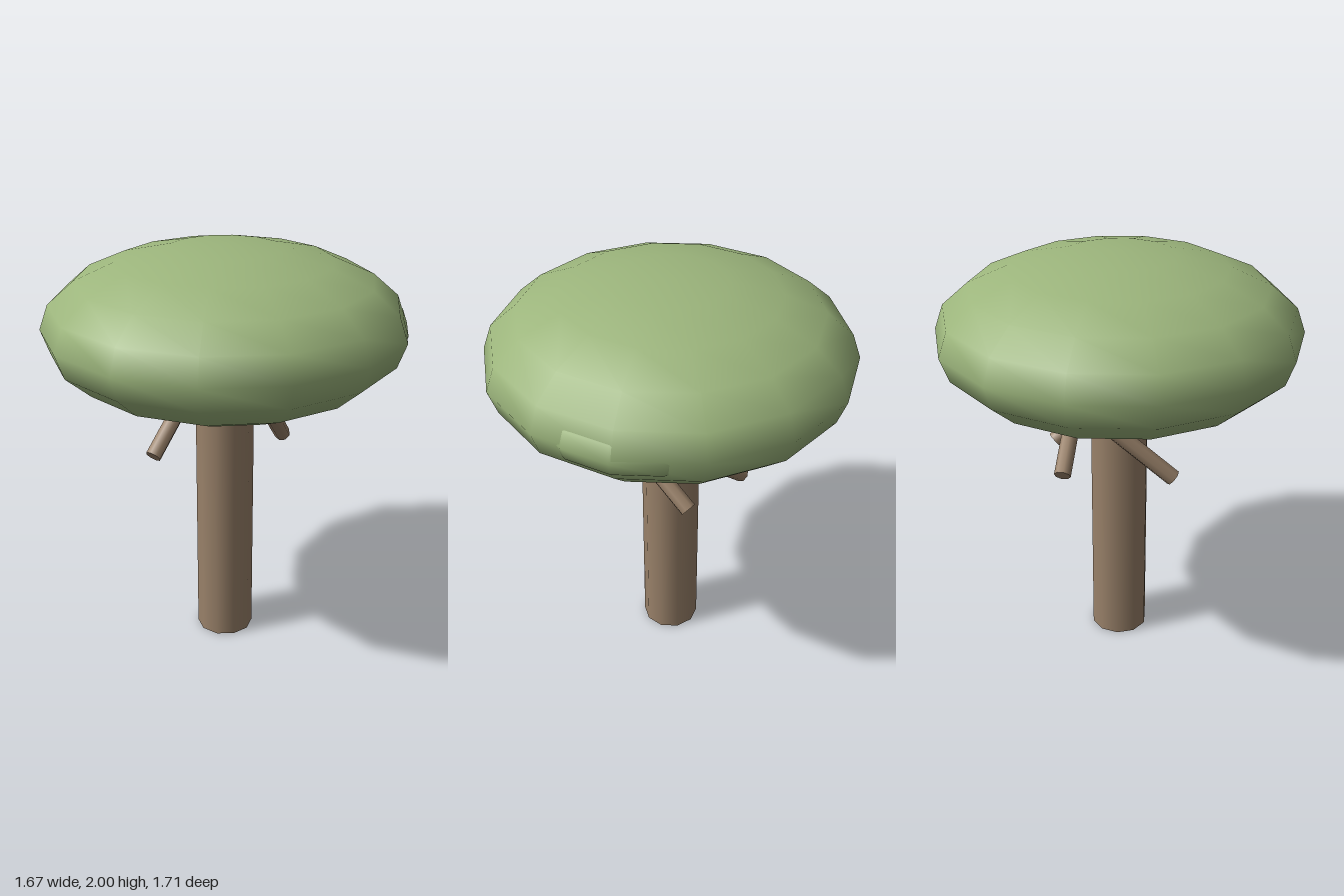
import * as THREE from 'three';

export function createModel() {
  const model = new THREE.Group();
  const leaf = new THREE.MeshStandardMaterial({ color: 0x9cb57c });
  leaf.name = 'leafGreen';
  const bark = new THREE.MeshStandardMaterial({ color: 0x9a826a });
  bark.name = 'barkBrown';

  function add(name, geometry, material) {
    const mesh = new THREE.Mesh(geometry, material);
    mesh.name = name;
    model.add(mesh);
    return mesh;
  }

  // Flattened foliage: smooth spheres of 14 sides with a corner facing the front
  function foliage(name, radius, height, x, y, z) {
    const geometry = new THREE.SphereGeometry(1, 14, 10).rotateY(Math.PI / 2);
    const mesh = add(name, geometry, leaf);
    mesh.scale.set(radius, height, radius);
    mesh.position.set(x, y, z);
  }
  foliage('canopy', 0.853, 0.377, -0.003, 1.623, 0);
  foliage('sideFoliage', 0.5, 0.22, 0.345, 1.61, 0.09);

  // Trunk, reaching just into the canopy
  const trunk = add('trunk', new THREE.CylinderGeometry(0.14, 0.14, 1.3, 10), bark);
  trunk.position.set(-0.005, 0.65, 0);

  // Slanting branches, from the low outer tip up into the canopy
  function branch(name, tip, top) {
    const a = new THREE.Vector3(...tip);
    const b = new THREE.Vector3(...top);
    const dir = b.clone().sub(a);
    const mesh = add(name, new THREE.CylinderGeometry(0.04, 0.04, dir.length(), 8), bark);
    mesh.position.copy(a).add(b).multiplyScalar(0.5);
    mesh.quaternion.setFromUnitVectors(new THREE.Vector3(0, 1, 0), dir.normalize());
  }
  branch('rightBranch', [-0.36, 0.985, -0.03], [-0.06, 1.3, -0.25]);
  branch('leftBranch', [0.335, 0.985, -0.1], [0.115, 1.3, 0.235]);
  branch('backBranch', [0.05, 0.985, -0.35], [0.26, 1.3, 0.015]);

  return model;
}
